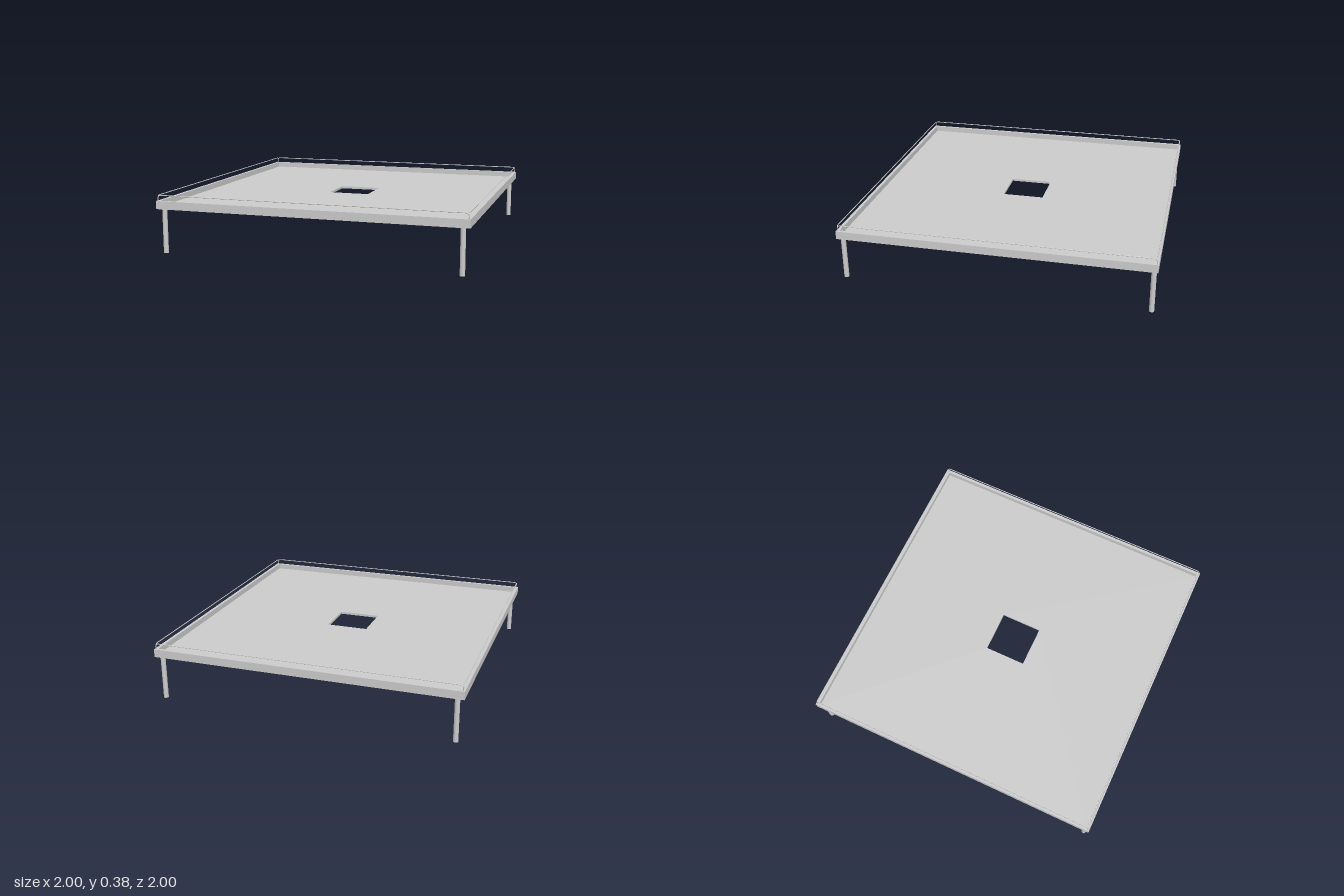
import * as THREE from 'three';

const FRAME_BOTTOM = 0.285, FRAME_TOP = 0.337;

const material = new THREE.MeshStandardMaterial({ color: 0xcccccc });

function square(Type, half) {
  const s = new Type();
  s.moveTo(-half, -half);
  s.lineTo(half, -half);
  s.lineTo(half, half);
  s.lineTo(-half, half);
  s.closePath();
  return s;
}

// Flat square ring lying in the xz plane
function squareRing(name, outer, inner, y, height) {
  const shape = square(THREE.Shape, outer);
  shape.holes.push(square(THREE.Path, inner));
  const geometry = new THREE.ExtrudeGeometry(shape, { depth: height, bevelEnabled: false });
  geometry.rotateX(-Math.PI / 2);
  const mesh = new THREE.Mesh(geometry, material);
  mesh.position.y = y;
  mesh.name = name;
  return mesh;
}

// Thin hoop along one side, its rounded ends dropping to the frame
function railGeometry() {
  const x = 0.99, y = 0.373, r = 0.02;
  const v = (a, b) => new THREE.Vector3(a, b, 0);
  const path = new THREE.CurvePath();
  path.add(new THREE.LineCurve3(v(-x, FRAME_TOP - 0.01), v(-x, y - r)));
  path.add(new THREE.QuadraticBezierCurve3(v(-x, y - r), v(-x, y), v(-x + r, y)));
  path.add(new THREE.LineCurve3(v(-x + r, y), v(x - r, y)));
  path.add(new THREE.QuadraticBezierCurve3(v(x - r, y), v(x, y), v(x, y - r)));
  path.add(new THREE.LineCurve3(v(x, y - r), v(x, FRAME_TOP - 0.01)));
  return new THREE.TubeGeometry(path, 400, 0.003, 8, false);
}

export function createModel() {
  const group = new THREE.Group();
  group.name = 'squarePlatform';

  // Raised border and the recessed deck with its central opening
  group.add(squareRing('frame', 1, 0.98, FRAME_BOTTOM, FRAME_TOP - FRAME_BOTTOM));
  group.add(squareRing('deck', 0.98, 0.137, FRAME_BOTTOM, 0.015));

  // Corner legs
  const legGeometry = new THREE.CylinderGeometry(0.016, 0.016, FRAME_BOTTOM, 16);
  for (const sx of [-1, 1]) {
    for (const sz of [-1, 1]) {
      const leg = new THREE.Mesh(legGeometry, material);
      leg.position.set(sx * 0.955, FRAME_BOTTOM / 2, sz * 0.973);
      leg.name = (sz > 0 ? 'front' : 'back') + (sx > 0 ? 'Left' : 'Right') + 'Leg';
      group.add(leg);
    }
  }

  // One guard rail per side
  const rail = railGeometry();
  ['front', 'left', 'back', 'right'].forEach((side, i) => {
    const holder = new THREE.Group();
    holder.name = side + 'Rail';
    const mesh = new THREE.Mesh(rail, material);
    mesh.name = side + 'RailTube';
    mesh.position.z = 0.99;
    holder.add(mesh);
    holder.rotation.y = i * Math.PI / 2;
    group.add(holder);
  });

  return group;
}
